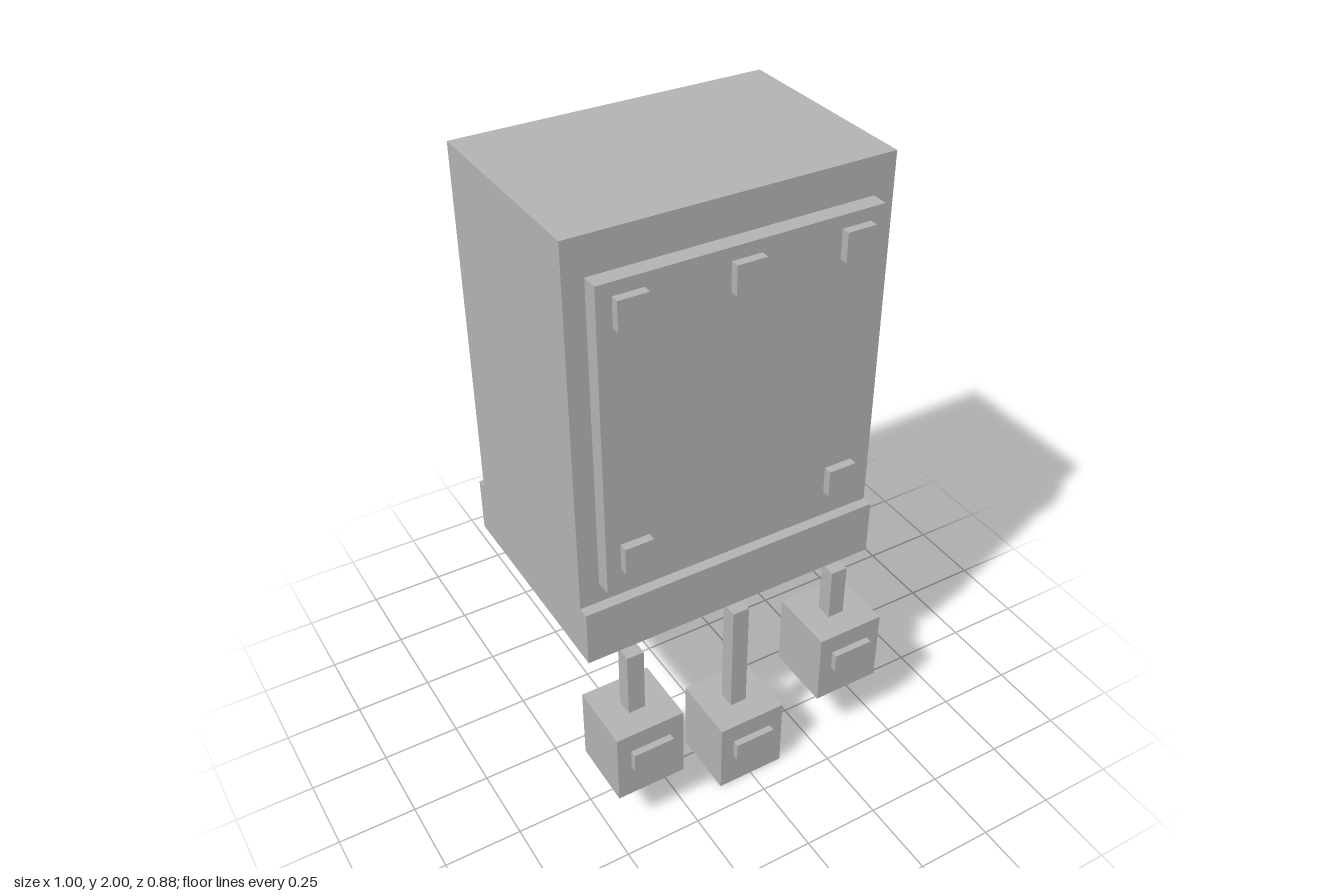
import * as THREE from 'three';

export function createModel() {
  const group = new THREE.Group();
  const grey = new THREE.MeshStandardMaterial({ color: 0xb2b2b2 });
  grey.name = 'light grey';

  // Box from its low and high limits on each axis
  function box(name, [x0, x1], [y0, y1], [z0, z1], parent = group) {
    const mesh = new THREE.Mesh(new THREE.BoxGeometry(x1 - x0, y1 - y0, z1 - z0), grey);
    mesh.position.set((x0 + x1) / 2, (y0 + y1) / 2, (z0 + z1) / 2);
    mesh.name = name;
    parent.add(mesh);
  }

  // Cabinet, base band and front panel
  box('cabinet', [-0.5, 0.5], [0.83, 2], [-0.405, 0.258]);
  box('baseBand', [-0.5, 0.5], [0.645, 0.83], [-0.44, 0.293]);
  box('frontPanel', [-0.437, 0.435], [0.9, 1.885], [0.258, 0.31]);

  // Square studs: three along the top, two along the bottom
  for (const [x, y] of [[-0.345, 1.8], [0, 1.8], [0.344, 1.8], [-0.345, 1.015], [0.344, 1.015]]) {
    box('panelStud', [x - 0.046, x + 0.046], [y - 0.045, y + 0.045], [0.31, 0.337]);
  }

  // Hanging blocks, each with a rod and a raised label
  const hangers = [
    { name: 'rightHanger', x: -0.368, rod: -0.368, y: 0.165 },
    { name: 'middleHanger', x: 0, rod: 0, y: 0 },
    { name: 'leftHanger', x: 0.366, rod: 0.366, y: 0.208 },
  ];
  for (const { name, x, rod, y } of hangers) {
    const hanger = new THREE.Group();
    hanger.name = name;
    box('rod', [rod - 0.028, rod + 0.028], [y + 0.253, 0.645], [0.28, 0.335], hanger);
    box('block', [x - 0.114, x + 0.114], [y, y + 0.253], [0.195, 0.418], hanger);
    box('label', [x - 0.068, x + 0.068], [y + 0.12, y + 0.185], [0.418, 0.44], hanger);
    group.add(hanger);
  }
  return group;
}
